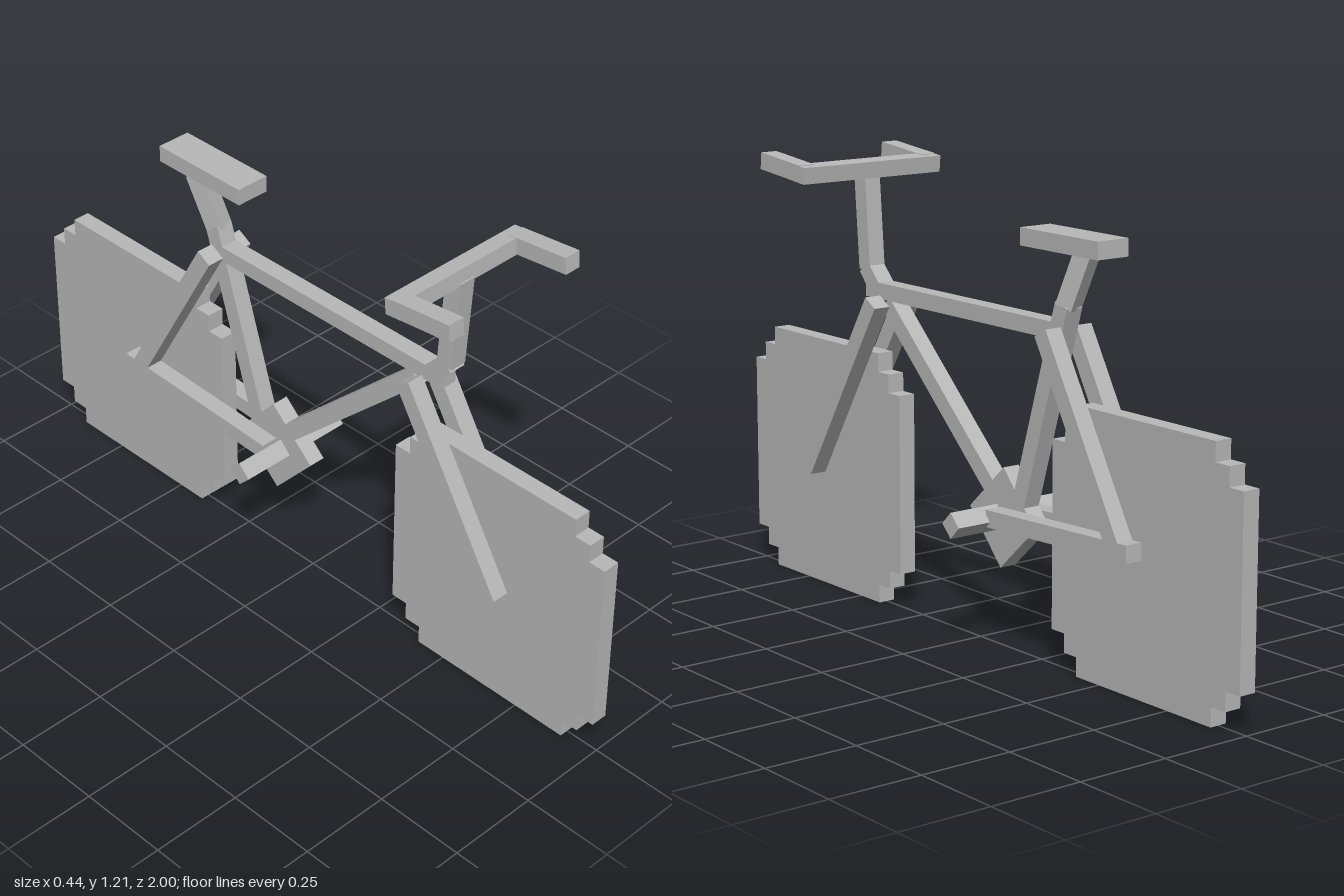
import * as THREE from 'three';

const T = 0.048; // tube thickness

export function createModel() {
  const bike = new THREE.Group();
  bike.name = 'bicycle';
  const grey = new THREE.MeshStandardMaterial({ color: 0xb8b8b8, flatShading: true });
  grey.name = 'plain grey';

  function add(name, geometry, x = 0, y = 0, z = 0) {
    const mesh = new THREE.Mesh(geometry, grey);
    mesh.name = name;
    mesh.position.set(x, y, z);
    bike.add(mesh);
    return mesh;
  }

  // Square tube in a plane of constant x; a and b are [z, y] ends
  function tube(name, a, b, x = 0, width = T, height = T) {
    const dz = b[0] - a[0], dy = b[1] - a[1];
    const mesh = add(name, new THREE.BoxGeometry(width, height, Math.hypot(dz, dy)),
      x, (a[1] + b[1]) / 2, (a[0] + b[0]) / 2);
    mesh.rotation.x = -Math.atan2(dy, dz);
    return mesh;
  }

  // Wheel: thick slab with two-step corners
  function wheel(name, z) {
    const quarter = [[0.341, 0.243], [0.293, 0.243], [0.293, 0.293], [0.245, 0.293], [0.245, 0.343]];
    const flip = (sx, sy) => quarter.map(([px, py]) => new THREE.Vector2(px * sx, py * sy));
    const outline = [
      ...flip(1, 1), ...flip(-1, 1).reverse(),
      ...flip(-1, -1), ...flip(1, -1).reverse(),
    ];
    const geometry = new THREE.ExtrudeGeometry(new THREE.Shape(outline), { depth: T, bevelEnabled: false });
    geometry.translate(0, 0, -T / 2);
    geometry.rotateY(-Math.PI / 2);
    add(name, geometry, 0, 0.343, z);
  }
  wheel('frontWheel', 0.659);
  wheel('rearWheel', -0.659);

  // Main frame
  tube('topTube', [0.465, 0.855], [-0.31, 0.855], 0, T, 0.043);
  tube('downTube', [0.377, 0.826], [-0.12, 0.365]);
  tube('seatTube', [-0.168, 0.345], [-0.347, 0.922]);
  tube('headTube', [0.475, 0.912], [0.42, 0.853]);
  tube('stem', [0.47, 0.905], [0.49, 1.16]);

  // Paired fork blades and rear stays
  for (const [side, s] of [['left', 1], ['right', -1]]) {
    const x = s * 0.0485;
    tube(side + 'ForkBlade', [0.38, 0.831], [0.685, 0.329], x);
    tube(side + 'SeatStay', [-0.326, 0.856], [-0.602, 0.375], x);
    tube(side + 'ChainStay', [-0.114, 0.35], [-0.653, 0.371], x, T, 0.045);
    tube(side + 'Grip', [0.485, 1.171], [0.662, 1.189], s * 0.196, T, 0.045);
  }

  // Handlebar, slightly tipped back like the grips
  const bar = add('handlebar', new THREE.BoxGeometry(0.44, 0.044, T), 0, 1.17, 0.485);
  bar.rotation.x = -0.1;

  // Crank block and pedal bar, turned on edge
  const crank = add('crankBlock', new THREE.BoxGeometry(T, 0.187, 0.187), 0, 0.345, -0.118);
  crank.rotation.x = 0.74;
  const pedals = add('pedalBar', new THREE.BoxGeometry(0.343, T, T), 0, 0.343, -0.097);
  pedals.rotation.x = Math.PI / 4;

  // Seat post leans and twists a little
  const bottom = new THREE.Vector3(0, 0.915, -0.345);
  const top = new THREE.Vector3(-0.021, 1.062, -0.395);
  const post = add('seatPost', new THREE.BoxGeometry(T, bottom.distanceTo(top), T));
  post.position.copy(bottom).add(top).multiplyScalar(0.5);
  post.quaternion.setFromUnitVectors(new THREE.Vector3(0, 1, 0), top.sub(bottom).normalize());
  post.rotateY(0.32);

  add('saddle', new THREE.BoxGeometry(0.095, 0.045, 0.294), 0, 1.077, -0.363);

  return bike;
}
